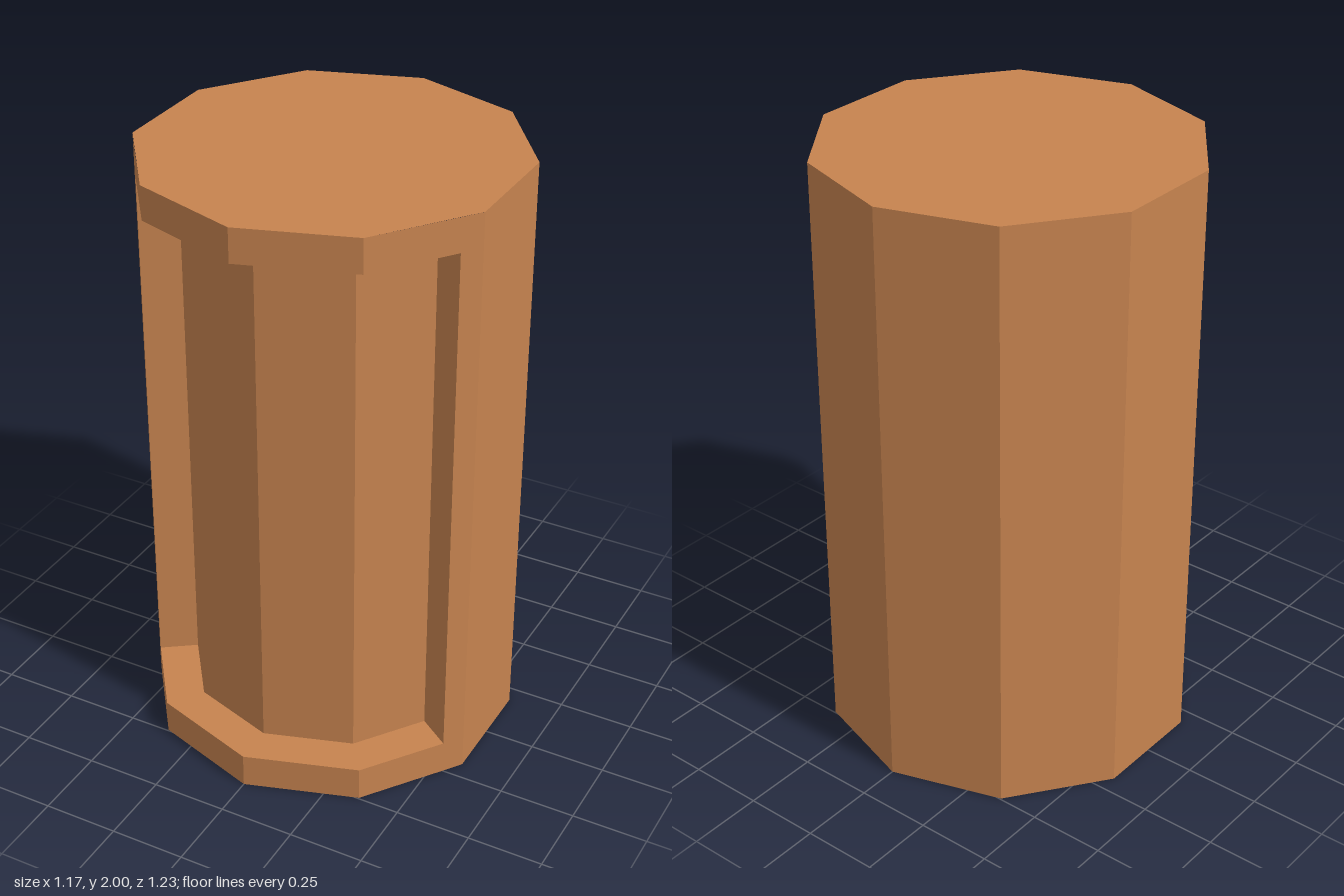
import * as THREE from 'three';

const HEIGHT = 2;
const LEDGE_LOW = 0.115, LEDGE_HIGH = 1.888;
const OUTER = 0.613, INNER = 0.48;

// Corner of a ten-sided ring as [x, z]; step 0 is the front, counting towards +x
const corner = (radius, step) => {
  const a = (step * Math.PI) / 5;
  return [radius * Math.sin(a), radius * Math.cos(a)];
};

// Flat-shaded vertical faces along a path of [x, z] points
function wallGeometry(path, y0, y1) {
  const pos = [];
  for (let i = 0; i < path.length - 1; i++) {
    const [ax, az] = path[i], [bx, bz] = path[i + 1];
    pos.push(ax, y0, az, bx, y0, bz, bx, y1, bz);
    pos.push(ax, y0, az, bx, y1, bz, ax, y1, az);
  }
  const g = new THREE.BufferGeometry();
  g.setAttribute('position', new THREE.Float32BufferAttribute(pos, 3));
  g.computeVertexNormals();
  return g;
}

// Horizontal face from a closed outline of [x, z] points, facing up or down
function flatGeometry(outline, y, up) {
  const dir = up ? -1 : 1;
  const shape = new THREE.Shape(outline.map(([x, z]) => new THREE.Vector2(x, dir * z)));
  return new THREE.ShapeGeometry(shape).rotateX((dir * Math.PI) / 2).translate(0, y, 0);
}

export function createModel() {
  const group = new THREE.Group();
  group.name = 'recessedColumn';
  const clay = new THREE.MeshStandardMaterial({ color: 0xc6834f });
  clay.name = 'clay brown';
  clay.flatShading = true;

  const add = (name, geometry) => {
    const mesh = new THREE.Mesh(geometry, clay);
    mesh.name = name;
    group.add(mesh);
  };

  // Ends of the recess on the outer faces, and where its side walls meet the core
  const leftEdge = [0.54, 0.25], rightEdge = [-0.54, 0.25];
  const leftRoot = [0.435, 0.176], rightRoot = [-0.435, 0.176];

  const ring = Array.from({ length: 10 }, (_, i) => corner(OUTER, i));
  const back = [leftEdge, ...ring.slice(2, 9), rightEdge];
  const front = [rightEdge, ...[-1, 0, 1].map((s) => corner(OUTER, s)), leftEdge];
  const core = [rightRoot, ...[-1, 0, 1].map((s) => corner(INNER, s)), leftRoot];
  const ledge = [...front, ...[...core].reverse()];

  // Outer shell
  add('backWall', wallGeometry(back, 0, HEIGHT));
  add('lowerRim', wallGeometry(front, 0, LEDGE_LOW));
  add('upperRim', wallGeometry(front, LEDGE_HIGH, HEIGHT));
  add('topFace', flatGeometry(ring, HEIGHT, true));
  add('bottomFace', flatGeometry(ring, 0, false));

  // Front recess
  add('recessWall', wallGeometry([rightEdge, ...core, leftEdge], LEDGE_LOW, LEDGE_HIGH));
  add('lowerLedge', flatGeometry(ledge, LEDGE_LOW, true));
  add('upperLedge', flatGeometry(ledge, LEDGE_HIGH, false));

  return group;
}
